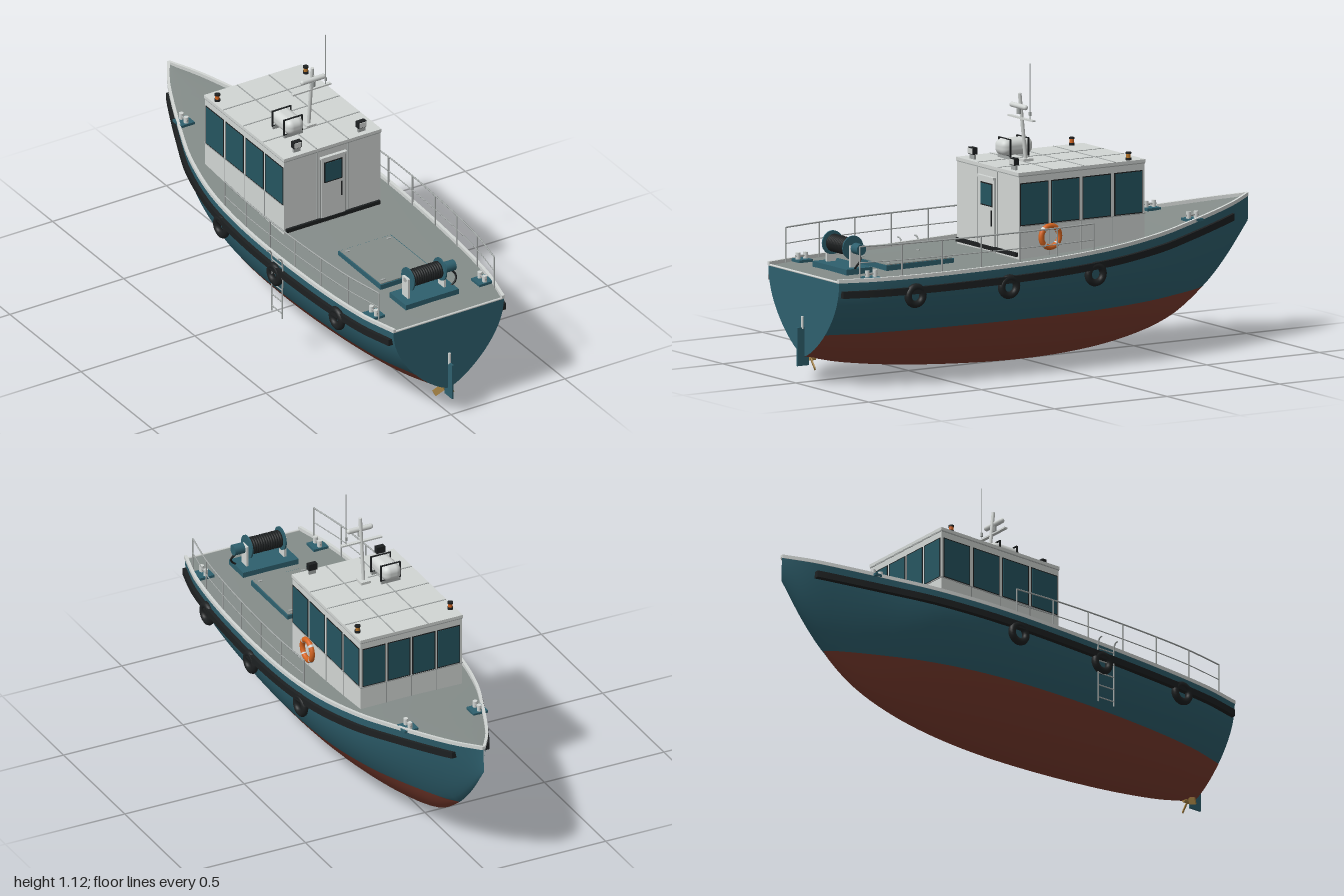
import * as THREE from 'three';
import { toCreasedNormals } from 'three/addons/utils/BufferGeometryUtils.js';
import { RoundedBoxGeometry } from 'three/addons/geometries/RoundedBoxGeometry.js';

const mat = (name, color, opts = {}) => Object.assign(new THREE.MeshStandardMaterial({ color, ...opts }), { name });
const V = (x, y, z) => new THREE.Vector3(x, y, z);

// Hull lines: station z, half beam, keel height, sheer height
const LINES = [
  [0.97, 0.243, 0.1, 0.412], [0.8, 0.284, 0.062, 0.411], [0.5, 0.314, 0.025, 0.413], [0.1, 0.325, 0.002, 0.422],
  [-0.2, 0.306, 0.008, 0.437], [-0.45, 0.252, 0.04, 0.458], [-0.65, 0.177, 0.1, 0.48], [-0.8, 0.114, 0.2, 0.498],
  [-0.9, 0.066, 0.3, 0.511], [-1, 0.003, 0.43, 0.525],
];
const WATERLINE = 0.2;

// Smooth interpolation of one column of the hull lines
function line(z, col) {
  const n = LINES.length - 1;
  let i = 0;
  while (i < n - 1 && z < LINES[i + 1][0]) i++;
  const slope = (k) => {
    const a = LINES[Math.max(k - 1, 0)], b = LINES[Math.min(k + 1, n)];
    return (b[col] - a[col]) / (b[0] - a[0]);
  };
  const a = LINES[i], b = LINES[i + 1], h = b[0] - a[0], t = (z - a[0]) / h;
  return (2 * t ** 3 - 3 * t * t + 1) * a[col] + (t ** 3 - 2 * t * t + t) * h * slope(i)
    + (3 * t * t - 2 * t ** 3) * b[col] + (t ** 3 - t * t) * h * slope(i + 1);
}
const sheer = (z) => line(z, 3);
function halfBeam(z, y) {
  const k = line(z, 2), t = THREE.MathUtils.clamp((y - k) / (sheer(z) - k), 0, 1);
  const round = Math.sin(t * Math.PI / 2) ** 0.7;
  return line(z, 1) * THREE.MathUtils.lerp(round, t ** 0.65, THREE.MathUtils.smoothstep(-z, 0.4, 1));
}

// Surface through rows of points; bands of columns can form material groups
function grid(rows, bandOf = () => 0, bands = 1) {
  const w = rows[0].length, lists = Array.from({ length: bands }, () => []);
  for (let i = 0; i < rows.length - 1; i++) for (let j = 0; j < w - 1; j++) {
    const a = i * w + j, c = a + w;
    lists[bandOf(j)].push(a, a + 1, c, a + 1, c + 1, c);
  }
  const g = new THREE.BufferGeometry().setFromPoints(rows.flat());
  g.setIndex(lists.flat());
  let start = 0;
  lists.forEach((l, k) => { g.addGroup(start, l.length, k); start += l.length; });
  g.computeVertexNormals();
  return g;
}
const span = (a, b, n) => Array.from({ length: n + 1 }, (_, i) => a + (b - a) * i / n);

export function createModel() {
  const teal = mat('teal paint', 0x2e606e), red = mat('bottom red', 0x7e3d2f), deckGrey = mat('deck grey', 0x858d8a, { side: THREE.DoubleSide });
  const white = mat('cabin white', 0xd2d6d4), steel = mat('steel grey', 0xa3a8a7), black = mat('rubber black', 0x1d2021);
  const glass = mat('window glass', 0x255560), orange = mat('safety orange', 0xd5641f), bronze = mat('bronze', 0xa98545), amber = mat('amber lens', 0xb8762a);

  const model = new THREE.Group();
  model.name = 'workboat';
  const boat = new THREE.Group();
  boat.name = 'boat';
  boat.position.x = 0.0085;
  model.add(boat);
  const add = (name, geo, m, x = 0, y = 0, z = 0) => {
    const mesh = new THREE.Mesh(geo, m);
    mesh.name = name;
    mesh.position.set(x, y, z);
    boat.add(mesh);
    return mesh;
  };
  const box = (name, m, w, h, d, x, y, z) => add(name, new THREE.BoxGeometry(w, h, d), m, x, y, z);
  const rod = (name, m, a, b, r, sides = 10) => {
    const dir = b.clone().sub(a), mid = a.clone().add(b).multiplyScalar(0.5);
    const mesh = add(name, new THREE.CylinderGeometry(r, r, dir.length(), sides), m, mid.x, mid.y, mid.z);
    mesh.quaternion.setFromUnitVectors(V(0, 1, 0), dir.normalize());
    return mesh;
  };
  const tube = (name, m, pts, r) => add(name, new THREE.TubeGeometry(new THREE.CatmullRomCurve3(pts), pts.length * 6, r, 8), m);

  // Hull shell: red below the waterline, teal above
  const stations = [...span(0.97, -0.8, 42), ...span(-0.8, -1, 12).slice(1)];
  const N = 10;
  const section = (z) => {
    const k = line(z, 2), s = sheer(z), wl = Math.max(k, WATERLINE);
    const ys = [...span(0, 1, N).map((t) => k + (wl - k) * t * t), ...span(0, 1, N).slice(1).map((t) => wl + (s - wl) * t ** 1.5)];
    const side = ys.map((y) => V(halfBeam(z, y), y, z));
    return [...side.slice(1).reverse(), ...side.map((p) => V(-p.x, p.y, p.z))];
  };
  add('hull', grid(stations.map(section), (j) => (j >= N && j < 3 * N ? 1 : 0), 2), [teal, red]);
  const transom = new THREE.Shape(section(0.97).map((p) => new THREE.Vector2(p.x, p.y)));
  add('transom', new THREE.ShapeGeometry(transom), teal, 0, 0, 0.97);
  add('deck', grid(stations.map((z) => [-1, 0, 1].map((s) =>
    V(s * line(z, 1), sheer(z) - 0.002 + (s ? 0 : 0.004), z)))), deckGrey);

  // Cap rails and rubbing strakes swept along the hull side
  const sweep = (name, m, side, drop, out, w, h, z0, z1) => {
    const ring = (z, k) => [[1, 1], [1, -1], [-1, -1], [-1, 1], [1, 1]].map(([a, b]) => {
      const y = sheer(z) - drop;
      return V(side * (halfBeam(z, y) + out) + a * k * w / 2, y + b * k * h / 2, z);
    });
    const zs = span(z0, z1, 50);
    const rows = [ring(z0, 0), ...zs.map((z) => ring(z, 1)), ring(z1, 0)];
    add(name, toCreasedNormals(grid(rows), 0.6), m);
  };
  for (const s of [-1, 1]) {
    sweep('capRail', white, s, -0.005, -0.004, 0.012, 0.014, 0.972, -0.999);
    sweep('rubbingStrake', black, s, 0.046, 0.006, 0.022, 0.026, 0.96, -0.89);
    // Tyre fenders
    for (const [z, y] of [[0.67, 0.345], [0.27, 0.345], [-0.12, 0.355]]) {
      add('tyreFender', new THREE.TorusGeometry(0.033, 0.014, 10, 24), black, s * (halfBeam(z, y) + 0.011), y, z).rotation.y = Math.PI / 2;
    }
    // Guard rails
    const zs = span(0.885, -0.12, 6), at = (z, y) => V(s * (line(z, 1) - 0.012), y, z);
    zs.forEach((z) => rod('railPost', steel, at(z, sheer(z)), at(z, 0.543), 0.003, 8));
    tube('topRail', steel, zs.map((z) => at(z, 0.543)), 0.003);
    tube('midRail', steel, zs.map((z) => at(z, 0.482)), 0.002);
    // Mooring bitts fore and aft
    for (const [x, z] of [[0.145, -0.66], [0.238, 0.825]]) {
      const y = sheer(z);
      box('bittBase', teal, 0.06, 0.01, 0.06, s * x, y + 0.005, z);
      for (const d of [-0.017, 0.017]) rod('bittPost', white, V(s * x, y, z + d), V(s * x, y + 0.035, z + d), 0.009, 12);
      rod('bittBar', steel, V(s * x, y + 0.022, z - 0.027), V(s * x, y + 0.022, z + 0.027), 0.004);
    }
  }
  rod('transomCap', white, V(-0.24, 0.411, 0.967), V(0.24, 0.411, 0.967), 0.0045);

  // Cabin shell and roof with panel seams
  const front = -0.405, aft = 0.153, half = 0.212, midZ = (front + aft) / 2, length = aft - front;
  box('cabin', white, half * 2, 0.336, length, 0, 0.568, midZ);
  box('cabinRoof', white, half * 2 + 0.004, 0.012, length + 0.006, 0, 0.741, midZ);
  box('roofShadowGap', steel, half * 2 + 0.002, 0.004, length + 0.004, 0, 0.733, midZ);
  for (const x of [-0.07, 0.07]) box('roofSeam', steel, 0.005, 0.002, length, x, 0.7475, midZ);
  for (const z of [-0.275, -0.135, 0.005]) box('roofSeam', steel, half * 2, 0.002, 0.005, 0, 0.7475, z);
  for (const x of [-0.068, 0.068]) box('aftWallSeam', steel, 0.003, 0.3, 0.004, x, 0.58, aft);
  box('aftSill', black, 0.41, 0.015, 0.012, 0, 0.437, aft + 0.004);
  box('windowSill', steel, half * 2 + 0.004, 0.004, length - 0.01, 0, 0.543, midZ - 0.008);

  // Cabin windows: gasket behind glass, with panel seams beneath
  for (const z of [0.016, -0.123, -0.263]) box('lowerSideSeam', steel, half * 2 + 0.002, 0.12, 0.003, 0, 0.485, z);
  for (const x of [-0.104, 0, 0.104]) box('lowerFrontSeam', steel, 0.003, 0.1, 0.003, x, 0.495, front);
  for (const s of [-1, 1]) for (const z of [0.085, -0.053, -0.193, -0.333]) {
    box('sideGasket', black, 0.003, 0.162, 0.126, s * half, 0.626, z);
    box('sideWindow', glass, 0.005, 0.154, 0.118, s * half, 0.626, z);
  }
  for (const x of [-0.156, -0.052, 0.052, 0.156]) {
    box('frontGasket', black, 0.096, 0.162, 0.003, x, 0.626, front);
    box('frontWindow', glass, 0.088, 0.154, 0.005, x, 0.626, front);
  }

  // Aft door
  box('doorFrame', steel, 0.114, 0.285, 0.006, 0, 0.563, aft);
  box('door', white, 0.102, 0.272, 0.012, 0, 0.561, aft);
  box('doorGasket', black, 0.08, 0.088, 0.015, 0, 0.637, aft);
  box('doorWindow', glass, 0.07, 0.078, 0.018, 0, 0.637, aft);
  box('doorHandle', black, 0.005, 0.06, 0.02, 0.036, 0.55, aft);
  box('doorCanopy', white, 0.114, 0.008, 0.016, 0, 0.702, aft + 0.006);

  // Life ring with pale bands
  const ringPos = [half + 0.006, 0.495, 0.017];
  add('lifeRing', new THREE.TorusGeometry(0.04, 0.011, 12, 36), orange, ...ringPos).rotation.y = Math.PI / 2;
  for (let k = 0; k < 4; k++) {
    const band = add('lifeRingBand', new THREE.TorusGeometry(0.04, 0.0115, 12, 4, 0.18), white, ...ringPos);
    band.rotation.set(0, Math.PI / 2, k * Math.PI / 2 + 0.7, 'YXZ');
  }

  // Mast with crossbar, radar and whip aerial
  box('mastFoot', white, 0.04, 0.01, 0.045, 0, 0.752, -0.015);
  rod('mast', white, V(0, 0.747, -0.015), V(0, 1.005, 0.012), 0.007, 14);
  box('mastCrossbar', white, 0.17, 0.006, 0.014, 0, 0.91, 0.004);
  rod('radarPedestal', steel, V(0, 0.928, 0.016), V(0, 0.95, 0.016), 0.009, 14);
  add('radarScanner', new THREE.CapsuleGeometry(0.01, 0.09, 6, 12), white, 0, 0.957, 0.016).rotation.z = Math.PI / 2;
  rod('aerialBase', steel, V(0.062, 0.928, 0.006), V(0.062, 0.942, 0.006), 0.005);
  rod('aerial', steel, V(0.062, 0.91, 0.006), V(0.062, 1.125, 0.006), 0.0014, 6);

  // Life raft canister held by square frames
  add('raftCanister', new RoundedBoxGeometry(0.076, 0.062, 0.138, 5, 0.026), white, -0.09, 0.79, -0.02);
  for (const z of [-0.06, 0.02]) {
    box('raftCradle', steel, 0.08, 0.012, 0.01, -0.09, 0.753, z);
    for (const s of [-1, 1]) {
      box('raftFrameSide', black, 0.004, 0.064, 0.007, -0.09 + s * 0.04, 0.79, z);
      box('raftFrameBar', black, 0.084, 0.003, 0.007, -0.09, 0.79 + s * 0.032, z);
    }
  }

  // Roof lamps
  for (const s of [-1, 1]) {
    box('floodlightBracket', steel, 0.03, 0.016, 0.01, s * 0.142, 0.755, 0.128);
    box('floodlight', black, 0.036, 0.026, 0.02, s * 0.142, 0.778, 0.128);
    box('floodlightLens', white, 0.029, 0.02, 0.006, s * 0.142, 0.778, 0.138);
    rod('navLightBase', black, V(s * 0.194, 0.745, -0.345), V(s * 0.194, 0.756, -0.345), 0.011, 14);
    rod('navLightLens', s < 0 ? orange : amber, V(s * 0.194, 0.756, -0.345), V(s * 0.194, 0.771, -0.345), 0.0085, 14);
    rod('navLightCap', black, V(s * 0.194, 0.771, -0.345), V(s * 0.194, 0.777, -0.345), 0.011, 14);
  }

  // Cargo hatch
  box('hatchCoaming', teal, 0.232, 0.024, 0.298, 0, 0.42, 0.528);
  box('hatchLid', deckGrey, 0.222, 0.004, 0.288, 0, 0.433, 0.528);
  for (const x of [-0.09, 0.09]) for (const z of [0.404, 0.652]) box('hatchDog', steel, 0.016, 0.004, 0.008, x, 0.436, z);

  // Deck winch
  const winchY = 0.505, winchZ = 0.798;
  box('winchBase', teal, 0.232, 0.024, 0.115, 0, 0.421, winchZ);
  rod('winchDrum', black, V(-0.065, winchY, winchZ), V(0.065, winchY, winchZ), 0.029, 24);
  for (const x of span(-0.06, 0.06, 12)) {
    add('winchRope', new THREE.TorusGeometry(0.028, 0.0058, 8, 24), black, x, winchY, winchZ).rotation.y = Math.PI / 2;
  }
  for (const s of [-1, 1]) {
    rod('winchFlange', teal, V(s * 0.067, winchY, winchZ), V(s * 0.073, winchY, winchZ), 0.045, 28);
    box('winchSupport', white, 0.01, 0.085, 0.04, s * 0.079, 0.472, winchZ);
  }
  rod('winchShaft', steel, V(-0.086, winchY, winchZ), V(0.1, winchY, winchZ), 0.009, 14);
  rod('winchMotor', teal, V(0.088, winchY, winchZ), V(0.13, winchY, winchZ), 0.021, 18);
  tube('winchHose', black, [V(0.12, 0.485, winchZ), V(0.133, 0.465, 0.806), V(0.126, 0.447, 0.815), V(0.108, 0.43, 0.815)], 0.004);

  // Boarding ladder on the right side
  for (const z of [0.25, 0.325]) {
    tube('ladderStile', steel, [V(-0.352, 0.44, z), V(-0.336, 0.438, z), V(-0.327, 0.41, z), V(-0.327, 0.3, z), V(-0.327, 0.18, z)], 0.003);
  }
  for (const y of span(0.2, 0.4, 4)) rod('ladderRung', steel, V(-0.327, y, 0.25), V(-0.327, y, 0.325), 0.0025, 8);

  // Rudder and propeller
  box('rudder', teal, 0.007, 0.145, 0.052, 0, 0.138, 0.974);
  rod('rudderStock', white, V(0, 0.205, 0.976), V(0, 0.252, 0.976), 0.005);
  rod('propellerHub', bronze, V(0, 0.09, 0.92), V(0, 0.09, 0.948), 0.009, 14);
  for (const a of [1.45, 3.5, 5.4]) {
    const blade = box('propellerBlade', bronze, 0.04, 0.025, 0.005, Math.cos(a) * 0.029, 0.092 + Math.sin(a) * 0.029, 0.94);
    blade.rotation.set(0.5, 0, a, 'ZYX');
  }
  return model;
}
